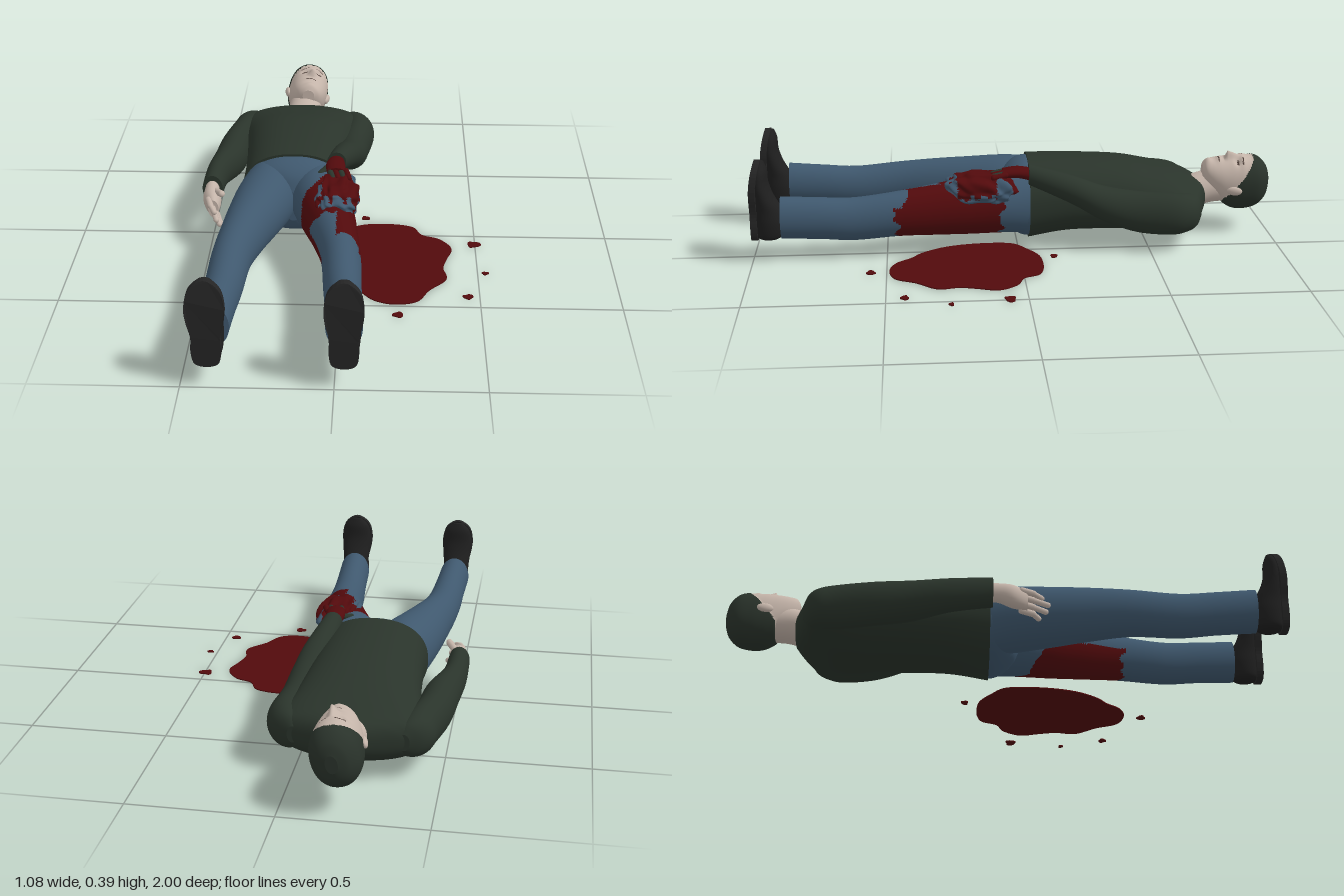
import * as THREE from 'three';

const mat = (name, color, side = THREE.FrontSide) => {
  const m = new THREE.MeshStandardMaterial({ color, side });
  m.name = name;
  return m;
};

const MID = -0.188; // centre line of the lying body

// Smooth closed body through elliptical sections [z, centreX, centreY, radiusX, radiusY]
function loft(sections, n = 40, rows = 40, power = 2) {
  const pos = [], idx = [];
  const at = (f) => {
    const s = f * (sections.length - 1), i = Math.min(Math.floor(s), sections.length - 2), t = s - i;
    const p = (k) => sections[Math.max(0, Math.min(sections.length - 1, k))];
    return sections[0].map((_, c) => {
      const a = p(i - 1)[c], b = p(i)[c], d = p(i + 1)[c], e = p(i + 2)[c];
      return b + 0.5 * t * (d - a + t * (2 * a - 5 * b + 4 * d - e + t * (3 * (b - d) + e - a)));
    });
  };
  const bend = (v) => Math.sign(v) * Math.abs(v) ** (2 / power);
  const ring = ([z, cx, cy, rx, ry]) => {
    for (let j = 0; j < n; j++) {
      const a = (j / n) * Math.PI * 2;
      pos.push(cx + rx * bend(Math.cos(a)), cy + ry * bend(Math.sin(a)), z);
    }
  };
  for (let i = 0; i <= rows; i++) ring(at(i / rows));
  for (let i = 0; i < rows; i++) for (let j = 0; j < n; j++) {
    const k = (j + 1) % n, a = i * n + j, b = i * n + k;
    idx.push(a, b, a + n, b, b + n, a + n);
  }
  for (const end of [0, 1]) {
    const s = at(end), base = pos.length / 3;
    ring(s);
    pos.push(s[1], s[2], s[0]);
    for (let j = 0; j < n; j++) {
      const k = (j + 1) % n;
      idx.push(base + n, base + (end ? j : k), base + (end ? k : j));
    }
  }
  const g = new THREE.BufferGeometry();
  g.setAttribute('position', new THREE.Float32BufferAttribute(pos, 3));
  g.setIndex(idx);
  g.computeVertexNormals();
  return g;
}

// Move every vertex by a rule
function deform(g, rule) {
  const p = g.attributes.position, v = new THREE.Vector3();
  for (let i = 0; i < p.count; i++) {
    rule(v.fromBufferAttribute(p, i));
    p.setXYZ(i, v.x, v.y, v.z);
  }
  g.computeVertexNormals();
  return g;
}

// Sort the faces into material groups by the position of their centres
function paint(g, count, rule) {
  const p = g.attributes.position, old = g.index.array, lists = Array.from({ length: count }, () => []);
  for (let i = 0; i < old.length; i += 3) {
    const f = [old[i], old[i + 1], old[i + 2]];
    const mean = (fn) => f.reduce((s, k) => s + p[fn](k), 0) / 3;
    lists[rule(mean('getX'), mean('getY'), mean('getZ'))].push(...f);
  }
  g.setIndex(lists.flat());
  g.clearGroups();
  let start = 0;
  lists.forEach((l, m) => { g.addGroup(start, l.length, m); start += l.length; });
  return g;
}

const mirror = (sections) => sections.map(([z, x, ...rest]) => [z, 2 * MID - x, ...rest]);
const bump = (v, c, w) => Math.exp(-(((v - c) / w) ** 2));

export function createModel() {
  const root = new THREE.Group();
  const sweater = mat('dark green knit', 0x2a342b);
  const denim = mat('blue denim', 0x3f586e);
  const skin = mat('pale skin', 0xc4b4a9);
  const hair = mat('dark hair', 0x2a332b);
  const leather = mat('black leather', 0x1f1f1f);
  const rubber = mat('black rubber', 0x242424);
  const blood = mat('blood red', 0x520a0c, THREE.DoubleSide);
  const dark = mat('dark features', 0x4a3c36);

  const add = (name, geo, material, parent = root) => {
    const m = new THREE.Mesh(geo, material);
    m.name = name;
    parent.add(m);
    return m;
  };
  const finger = (name, a, b, r, material) => {
    const A = new THREE.Vector3(...a), B = new THREE.Vector3(...b), d = B.clone().sub(A);
    const m = add(name, new THREE.CapsuleGeometry(r, d.length(), 5, 10), material);
    m.position.copy(A).add(B).multiplyScalar(0.5);
    m.quaternion.setFromUnitVectors(new THREE.Vector3(0, 1, 0), d.normalize());
  };

  // Sweater: trunk and two sleeves
  add('sweaterBody', loft([
    [-0.74, MID, 0.15, 0.07, 0.05], [-0.722, MID, 0.148, 0.125, 0.066], [-0.7, MID, 0.146, 0.19, 0.078],
    [-0.67, MID, 0.145, 0.245, 0.09], [-0.61, MID, 0.148, 0.255, 0.108], [-0.52, MID, 0.155, 0.232, 0.125],
    [-0.4, MID, 0.17, 0.212, 0.135], [-0.2, MID, 0.175, 0.199, 0.143], [-0.045, MID, 0.163, 0.2, 0.157]], 64, 60, 2.3), sweater);
  const shoulder = [[-0.7, -0.375, 0.145, 0.02, 0.03], [-0.68, -0.39, 0.145, 0.05, 0.058],
    [-0.645, -0.405, 0.145, 0.065, 0.073], [-0.58, -0.418, 0.145, 0.066, 0.081]];
  add('rightSleeve', loft([...shoulder,
    [-0.45, -0.45, 0.145, 0.064, 0.08], [-0.32, -0.466, 0.15, 0.062, 0.074], [-0.185, -0.497, 0.16, 0.045, 0.062],
    [-0.04, -0.503, 0.17, 0.039, 0.055]]), sweater);
  add('leftSleeve', loft([...mirror(shoulder),
    [-0.45, 0.026, 0.152, 0.065, 0.08], [-0.32, 0.015, 0.185, 0.064, 0.068], [-0.2, 0, 0.238, 0.054, 0.055],
    [-0.04, -0.028, 0.292, 0.036, 0.04]]), sweater);

  // Relaxed right hand
  add('rightPalm', loft([[-0.07, -0.503, 0.17, 0.026, 0.034], [-0.02, -0.503, 0.168, 0.028, 0.036],
    [0.03, -0.497, 0.158, 0.034, 0.043], [0.08, -0.488, 0.148, 0.02, 0.036]], 24, 16), skin);
  for (let i = 0; i < 4; i++) {
    const y = 0.178 - i * 0.021, x = -0.507 + i * 0.01, tip = [0.13, 0.152, 0.145, 0.12][i];
    finger('rightFinger', [x, y, 0.06], [x + 0.012, y - 0.006, 0.1], 0.0115, skin);
    finger('rightFingertip', [x + 0.012, y - 0.006, 0.1], [x + 0.028, y - 0.016, tip], 0.01, skin);
  }
  finger('rightThumb', [-0.49, 0.185, 0], [-0.458, 0.2, 0.055], 0.013, skin);

  // Left hand pressed on the wound, its fingers in dark cloth
  add('leftPalm', loft([[-0.06, -0.028, 0.29, 0.026, 0.026], [0, -0.03, 0.302, 0.036, 0.022],
    [0.06, -0.025, 0.3, 0.036, 0.018]], 24, 16), blood);
  for (let i = 0; i < 4; i++) {
    const x = -0.05 + i * 0.02;
    finger('leftFinger', [x, 0.302, 0.05], [x + 0.012, 0.296, 0.095], 0.011, i % 2 ? blood : sweater);
  }
  finger('leftThumb', [-0.05, 0.3, 0], [-0.085, 0.285, 0.04], 0.012, sweater);

  // Trousers: hips, clean right leg, stained left leg
  add('hips', loft([[-0.09, MID, 0.163, 0.185, 0.14], [-0.035, MID, 0.162, 0.196, 0.15], [0.01, MID, 0.163, 0.172, 0.134],
    [0.045, MID, 0.16, 0.09, 0.105], [0.065, MID, 0.155, 0.03, 0.06]], 56, 24, 2.2), denim);
  const leg = [[-0.06, -0.285, 0.165, 0.095, 0.125], [0.05, -0.293, 0.17, 0.113, 0.121],
    [0.185, -0.325, 0.167, 0.1, 0.11], [0.3, -0.352, 0.165, 0.085, 0.1], [0.45, -0.38, 0.16, 0.071, 0.087],
    [0.62, -0.391, 0.147, 0.066, 0.082], [0.75, -0.398, 0.155, 0.062, 0.08], [0.89, -0.405, 0.163, 0.061, 0.081]];
  add('rightTrouserLeg', loft(leg), denim);
  add('leftTrouserLeg', paint(loft(mirror(leg), 72, 120), 2, (x, y, z) => {
    const edge = 0.012 * Math.sin(x * 90 + y * 40) + 0.008 * Math.sin(y * 130);
    const cleanTop = y > 0.17 && x < -0.015 && z > 0.29 + edge || y > 0.2 && z > 0.42 + edge;
    const waist = 0.065 + Math.max(0, -0.05 - x) * 0.9;
    return x > -0.15 && z > waist + edge && z < 0.46 + edge && !cleanTop ? 1 : 0;
  }), [denim, blood]);

  // Torn, soaked cloth on the left thigh
  const rag = deform(new THREE.SphereGeometry(1, 64, 48), (v) => {
    const { x, y, z } = v;
    const r = 1 + 0.05 * Math.sin(9 * x + 6 * z) + 0.04 * Math.sin(13 * z - 7 * y) + 0.03 * Math.sin(17 * x + 11 * y);
    const box = (q) => Math.sign(q) * Math.abs(q) ** 0.75;
    v.set(-0.022 + 0.081 * r * box(x), 0.245 + 0.06 * r * y, 0.145 + 0.135 * r * box(z));
  });
  add('tornCloth', paint(rag, 2, (x, y, z) => {
    const w = 0.012 * Math.sin(x * 120) + 0.008 * Math.sin(z * 150);
    const hem = z > 0.242 + w;
    const patch = x < -0.07 + w && z > 0.14 && z < 0.22;
    const side = x > 0.03 + w && z < 0.085 || x > 0.02 && y < 0.225 + w;
    return hem || patch || side ? 0 : 1;
  }), [denim, blood]);

  // Shoes with toes pointing up and curling back
  const upper = [[0.085, 0, -0.935, 0.03, 0.035], [0.1, 0, -0.935, 0.044, 0.052], [0.15, 0, -0.932, 0.052, 0.058],
    [0.2, 0, -0.938, 0.053, 0.053], [0.25, 0, -0.952, 0.058, 0.04], [0.3, 0, -0.964, 0.06, 0.032],
    [0.35, 0, -0.97, 0.05, 0.026], [0.383, 0, -0.975, 0.02, 0.012]];
  const half = [[0.038, 0.092], [0.049, 0.14], [0.047, 0.19], [0.06, 0.25], [0.064, 0.3], [0.048, 0.36]];
  const outline = [[0, 0.08], ...half, [0, 0.39], ...half.map(([x, y]) => [-x, y]).reverse()];
  const soleCurve = new THREE.CatmullRomCurve3(outline.map(([x, y]) => new THREE.Vector3(x, y, 0)), true);
  const soleShape = new THREE.Shape(soleCurve.getPoints(60).slice(0, 60).map((p) => new THREE.Vector2(p.x, p.y)));
  const curl = (v) => { v.z -= 0.022 * (Math.max(0, v.y - 0.25) / 0.14) ** 2; };
  for (const [side, x] of [['right', -0.408], ['left', 0.032]]) {
    const shoe = new THREE.Group();
    shoe.name = side + 'Shoe';
    shoe.position.x = x;
    root.add(shoe);
    add('shoeUpper', deform(loft(upper).rotateX(-Math.PI / 2), curl), leather, shoe);
    const sole = new THREE.ExtrudeGeometry(soleShape, { depth: 0.024, bevelEnabled: false });
    add('shoeSole', deform(sole.translate(0, 0, 0.976), curl), rubber, shoe);
  }

  // Neck and head, the face turned slightly to its left
  add('neck', loft([[-0.87, MID, 0.185, 0.06, 0.065], [-0.78, MID, 0.182, 0.066, 0.066],
    [-0.73, MID, 0.17, 0.072, 0.066], [-0.69, MID, 0.155, 0.08, 0.068], [-0.65, MID, 0.145, 0.08, 0.06]], 32, 16), skin);
  const head = new THREE.Group();
  head.name = 'head';
  head.position.set(MID + 0.005, 0.2, 0);
  head.rotation.z = -0.2;
  root.add(head);
  const skull = loft([[-0.999, 0, 0.0, 0.02, 0.03], [-0.985, 0, 0, 0.052, 0.068], [-0.95, 0, 0, 0.077, 0.1],
    [-0.9, 0, -0.002, 0.083, 0.11], [-0.86, 0, 0, 0.082, 0.108], [-0.83, 0, 0.006, 0.079, 0.098],
    [-0.8, 0, 0.017, 0.073, 0.083], [-0.77, 0, 0.029, 0.062, 0.067], [-0.747, 0, 0.042, 0.046, 0.047],
    [-0.735, 0, 0.05, 0.024, 0.024]], 120, 90, 2.15);
  const isHair = (y, z) => z < -0.815 && y < 1.3 * (-0.865 - z) + 0.02;
  deform(skull, (v) => {
    const { x, y, z } = v;
    if (isHair(y, z)) { v.x *= 1.03; v.y *= 1.03; }
    if (y < 0.03) return;
    const ramp = z < -0.83 ? Math.max(0, (z + 0.885) / 0.055) : Math.max(0, 1 - (z + 0.83) / 0.012);
    v.y += 0.03 * ramp * bump(x, 0, 0.013)
      + 0.006 * bump(z, -0.888, 0.01) * bump(x, 0, 0.05)
      - 0.011 * bump(Math.abs(x), 0.03, 0.016) * bump(z, -0.868, 0.012)
      + 0.006 * bump(x, 0, 0.024) * bump(z, -0.797, 0.01)
      + 0.007 * bump(x, 0, 0.025) * bump(z, -0.755, 0.014);
  });
  add('headAndHair', paint(skull, 3, (x, y, z) => {
    if (isHair(y, z)) return 1;
    const a = Math.abs(x);
    const eye = ((a - 0.031) / 0.012) ** 2 + ((z + 0.869) / 0.004) ** 2 < 1;
    const brow = a > 0.016 && a < 0.048 && Math.abs(z + 0.888 - 0.1 * (a - 0.03)) < 0.002;
    const mouth = a < 0.022 && Math.abs(z + 0.796) < 0.002;
    return y > 0.03 && (eye || brow || mouth) ? 2 : 0;
  }), [skin, hair, dark], head);
  for (const s of [-1, 1]) {
    const ear = add('ear', new THREE.SphereGeometry(1, 16, 12), skin, head);
    ear.scale.set(0.012, 0.018, 0.03);
    ear.position.set(s * 0.084, -0.002, -0.852);
    ear.rotation.y = s * -0.2;
  }

  // Pool and drops on the ground
  const puddle = (name, pts) => {
    const c = new THREE.CatmullRomCurve3(pts.map(([x, z]) => new THREE.Vector3(x, -z, 0)), true);
    const shape = new THREE.Shape(c.getPoints(120).slice(0, 120).map((p) => new THREE.Vector2(p.x, p.y)));
    add(name, new THREE.ExtrudeGeometry(shape, { depth: 0.004, bevelEnabled: false }).rotateX(-Math.PI / 2), blood);
  };
  puddle('bloodPool', [[-0.06, 0.02], [0, -0.03], [0.07, -0.07], [0.14, -0.08], [0.22, -0.075], [0.27, -0.055], [0.3, 0],
    [0.365, 0.03], [0.41, 0.1], [0.39, 0.175], [0.375, 0.24], [0.385, 0.315], [0.32, 0.395], [0.275, 0.47],
    [0.19, 0.49], [0.12, 0.465], [0.07, 0.41], [0.02, 0.37], [-0.04, 0.28], [-0.07, 0.15]]);
  const drops = [[0.083, -0.127, 0.018], [0.495, 0.065, 0.027], [0.528, 0.272, 0.013], [0.458, 0.434, 0.02], [0.208, 0.558, 0.022]];
  drops.forEach(([x, z, r], d) => puddle('bloodDrop', Array.from({ length: 9 }, (_, i) => {
    const a = (i / 9) * Math.PI * 2, q = r * (0.9 + 0.18 * Math.sin(i * 2.3 + d));
    return [x + q * Math.cos(a), z + 0.8 * q * Math.sin(a)];
  })));
  return root;
}
